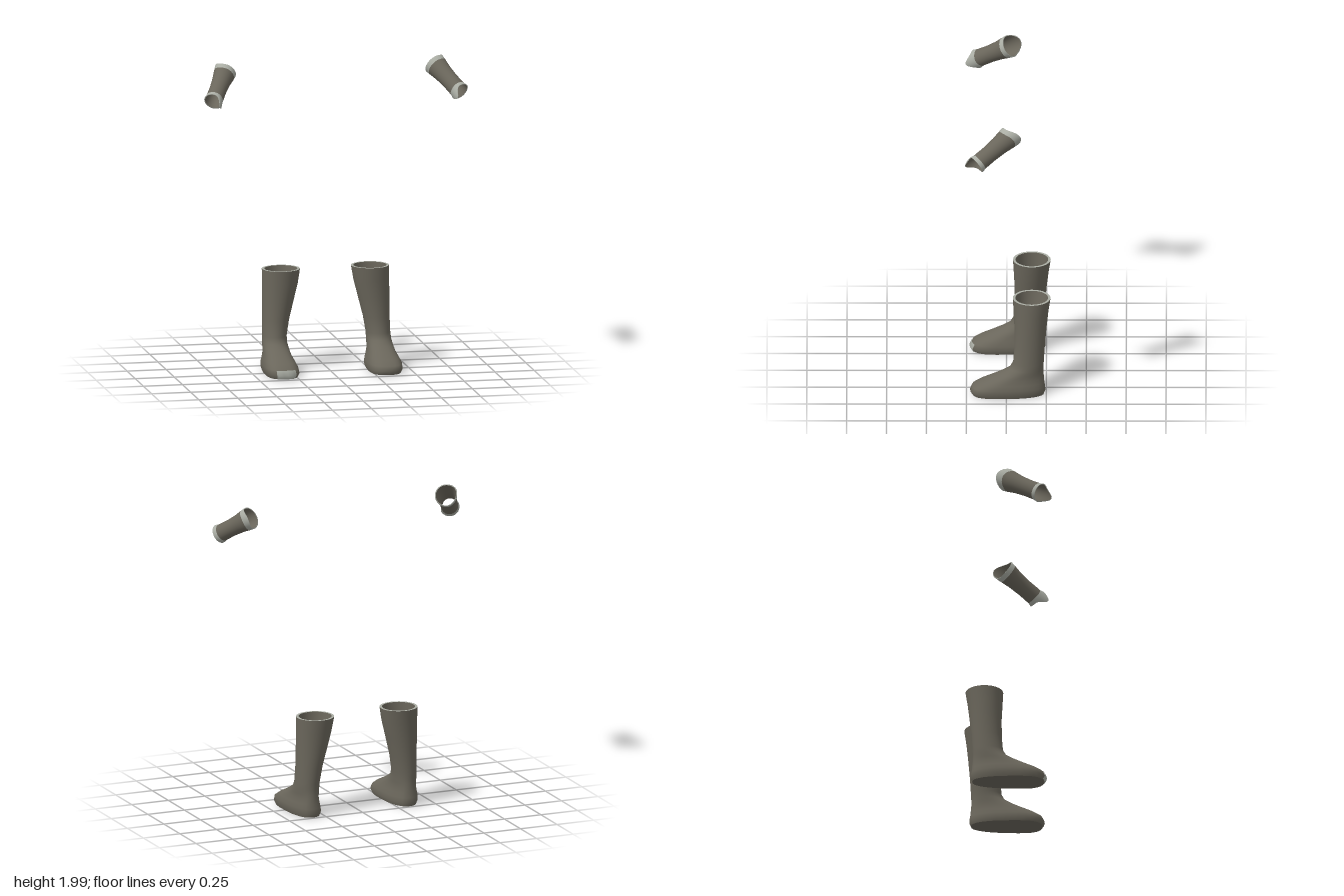
import * as THREE from 'three';

const leather = new THREE.MeshStandardMaterial({ color: 0x6a665b });
leather.name = 'grey brown leather';
const trim = new THREE.MeshStandardMaterial({ color: 0xaaada4 });
trim.name = 'pale grey trim';

const SIDES = 28;

// Skin a list of rings; side = -1 mirrors across x and flips the winding.
function loft(rings, side, { closed = true, capStart = false, capEnd = false } = {}) {
  const pos = [], index = [], n = rings[0].length;
  const tri = (a, b, c) => (side > 0 ? index.push(a, b, c) : index.push(a, c, b));
  const add = (p) => pos.push(p.x * side, p.y, p.z);
  rings.forEach((ring) => ring.forEach(add));
  for (let i = 0; i < rings.length - 1; i++) {
    for (let j = 0; j < (closed ? n : n - 1); j++) {
      const k = (j + 1) % n, a = i * n + j, b = i * n + k;
      tri(a, b, b + n);
      tri(a, b + n, a + n);
    }
  }
  const cap = (ringIndex, flip) => {
    const ring = rings[ringIndex], start = pos.length / 3;
    const mid = ring.reduce((s, p) => s.add(p), new THREE.Vector3()).divideScalar(n);
    ring.forEach(add);
    add(mid);
    for (let j = 0; j < n; j++) {
      const a = start + j, b = start + ((j + 1) % n);
      flip ? tri(start + n, b, a) : tri(start + n, a, b);
    }
  };
  if (capStart) cap(0, true);
  if (capEnd) cap(rings.length - 1, false);
  const g = new THREE.BufferGeometry();
  g.setAttribute('position', new THREE.Float32BufferAttribute(pos, 3));
  g.setIndex(index);
  g.computeVertexNormals();
  return g;
}

function part(group, name, geometry, material) {
  const mesh = new THREE.Mesh(geometry, material);
  mesh.name = name;
  group.add(mesh);
}

const circle = (fn) => Array.from({ length: SIDES }, (_, j) => fn((j / SIDES) * Math.PI * 2));

// Boot sections: height, x from, x to, z back, z front, toe flare
const bootRows = [
  [0.005, 0.235, 0.425, -0.235, 0.213, 0.18],
  [0.03, 0.225, 0.435, -0.245, 0.228, 0.18],
  [0.06, 0.23, 0.435, -0.242, 0.213, 0.18],
  [0.09, 0.24, 0.425, -0.237, 0.165, 0.15],
  [0.12, 0.25, 0.415, -0.235, 0.1, 0.1],
  [0.15, 0.253, 0.412, -0.232, 0.035, 0.05],
  [0.18, 0.255, 0.41, -0.232, -0.018, 0],
  [0.22, 0.255, 0.408, -0.234, -0.042, 0],
  [0.32, 0.238, 0.405, -0.24, -0.05, 0],
  [0.45, 0.205, 0.405, -0.252, -0.05, 0],
  [0.55, 0.18, 0.405, -0.263, -0.045, 0],
  [0.64, 0.165, 0.405, -0.277, -0.04, 0],
];
const floorRow = [0.04, 0.265, 0.385, -0.222, -0.065, 0];

function bootPoint([y, x0, x1, z0, z1, flare], a, grow = 0) {
  const e = 1 - 1.4 * flare, s = Math.sin(a), c = Math.cos(a);
  const bend = (v) => Math.sign(v) * Math.abs(v) ** e;
  return new THREE.Vector3(
    (x0 + x1) / 2 + ((x1 - x0) / 2 + grow) * bend(s) * (1 + flare * c),
    y,
    (z0 + z1) / 2 + ((z1 - z0) / 2 + grow) * bend(c),
  );
}

function makeBoot(side) {
  const boot = new THREE.Group();
  boot.name = side > 0 ? 'leftBoot' : 'rightBoot';
  const ring = (row, grow) => circle((a) => bootPoint(row, a, grow));
  const top = bootRows[bootRows.length - 1];
  part(boot, 'bootShell', loft(bootRows.map((r) => ring(r)), side, { capStart: true }), leather);
  // Hollow inside down to the insole
  const inside = bootRows.slice(6).reverse().map((r) => ring(r, -0.016));
  part(boot, 'bootLining', loft([...inside, ring(floorRow)], side, { capEnd: true }), leather);
  part(boot, 'bootRim', loft([ring(top), ring(top, -0.016)], side), trim);
  // Worn pale toe on the right boot only
  if (side < 0) {
    const arc = (row) => Array.from({ length: 9 }, (_, j) => bootPoint(row, -0.45 + j * 0.1, 0.004));
    part(boot, 'toePatch', loft(bootRows.slice(0, 3).map(arc), side, { closed: false }), trim);
  }
  return boot;
}

// Forearm guard: distance along the arm, radius, share of elbow lip, share of wrist flap
const elbowRows = [[0, 0.072, 1, 0], [0.032, 0.068, 0.6, 0]];
const cuffRows = [[0.032, 0.068, 0.6, 0], [0.09, 0.059, 0.2, 0], [0.17, 0.054, 0, 0], [0.25, 0.055, 0, 0.1]];
const wristRows = [[0.25, 0.055, 0, 0.1], [0.276, 0.061, 0, 1]];

function makeBracer(side) {
  const bracer = new THREE.Group();
  bracer.name = side > 0 ? 'leftForearmGuard' : 'rightForearmGuard';
  const elbow = new THREE.Vector3(0.672, 1.933, -0.022);
  const axis = new THREE.Vector3(0.79, 1.79, 0.19).sub(elbow).normalize();
  const u = new THREE.Vector3(-0.87, 0, 0.5).addScaledVector(axis, 0.87 * axis.x - 0.5 * axis.z).normalize();
  const v = axis.clone().cross(u);
  const ring = ([t, r, lip, flap], grow = 0) => circle((a) => {
    const c = Math.cos(a);
    const along = t - 0.04 * lip * Math.max(0, -c) ** 2 + 0.055 * flap * Math.max(0, c) ** 5;
    return elbow.clone().addScaledVector(axis, along)
      .addScaledVector(u, (r + grow) * c).addScaledVector(v, (r + grow) * Math.sin(a));
  });
  const rings = (rows) => rows.map((r) => ring(r));
  const first = elbowRows[0], last = wristRows[1];
  part(bracer, 'cuff', loft(rings(cuffRows), side), leather);
  part(bracer, 'elbowBand', loft([ring(first, -0.006), ...rings(elbowRows)], side), trim);
  part(bracer, 'wristBand', loft([...rings(wristRows), ring(last, -0.006)], side), trim);
  const inner = [last, ...[...cuffRows].reverse(), first].map((r) => ring(r, -0.006));
  part(bracer, 'cuffLining', loft(inner, side), leather);
  return bracer;
}

export function createModel() {
  const model = new THREE.Group();
  model.name = 'bootsAndForearmGuards';
  for (const side of [1, -1]) model.add(makeBoot(side), makeBracer(side));
  return model;
}
